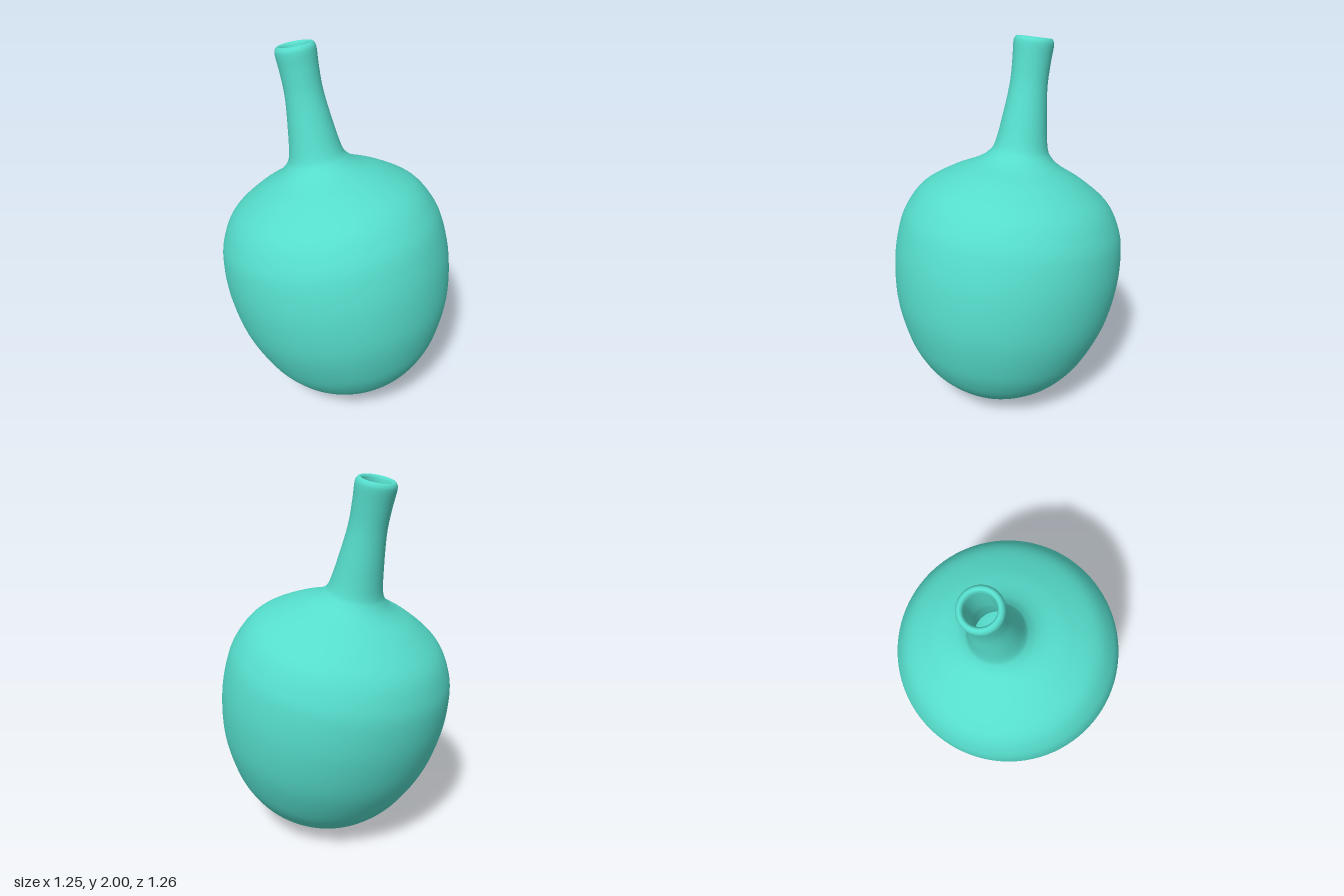
import * as THREE from 'three';

const glaze = new THREE.MeshStandardMaterial({ color: 0x55dccb });
glaze.name = 'turquoise glaze';

// Smooth curve through [radius, height] pairs, sampled for a lathe
function smoothProfile(pairs, samples) {
  const curve = new THREE.SplineCurve(pairs.map(([r, h]) => new THREE.Vector2(r, h)));
  return curve.getPoints(samples).map((p) => new THREE.Vector2(Math.max(0, p.x), p.y));
}

export function createModel() {
  const model = new THREE.Group();
  model.name = 'bottle';

  // Outer wall from the round base up the neck, over the lip
  const outer = smoothProfile([
    [0, -0.775], [0.1, -0.765], [0.21, -0.728], [0.34, -0.645], [0.43, -0.555],
    [0.51, -0.43], [0.588, -0.225], [0.62, 0], [0.61, 0.19], [0.575, 0.31],
    [0.5, 0.425], [0.36, 0.522], [0.23, 0.586], [0.17, 0.632], [0.14, 0.69],
    [0.115, 0.85], [0.099, 1.0], [0.1, 1.12], [0.105, 1.205], [0.1, 1.232],
    [0.087, 1.243], [0.075, 1.235], [0.07, 1.215],
  ], 160);

  // Inner wall back down through the neck into the hollow belly
  const inner = smoothProfile([
    [0.07, 1.215], [0.067, 1.0], [0.083, 0.85], [0.105, 0.69], [0.14, 0.6],
    [0.34, 0.485], [0.47, 0.39], [0.57, 0.18], [0.585, 0], [0.55, -0.22],
    [0.4, -0.53], [0.2, -0.69], [0, -0.74],
  ], 80);

  const bottle = new THREE.Mesh(
    new THREE.LatheGeometry([...outer, ...inner.slice(1)], 96), glaze);
  bottle.name = 'bottleBody';

  // Whole bottle leans back and towards its right
  const axis = new THREE.Vector3(-0.098, 1, -0.19).normalize();
  bottle.quaternion.setFromUnitVectors(new THREE.Vector3(0, 1, 0), axis);
  bottle.position.y = 0.77;
  model.add(bottle);

  return model;
}
